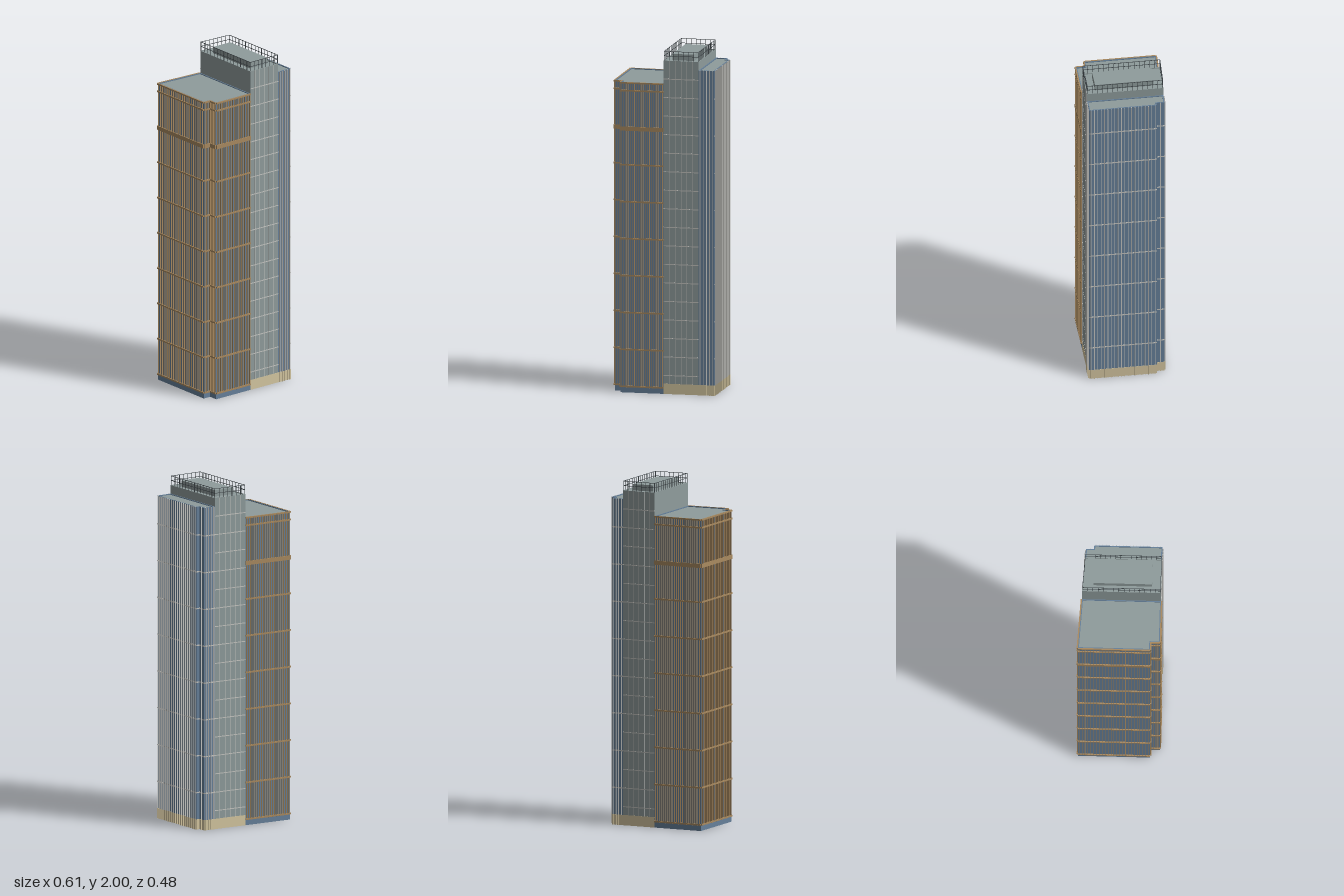
import * as THREE from 'three';
import { mergeGeometries } from 'three/addons/utils/BufferGeometryUtils.js';

const mat = (name, color) => Object.assign(new THREE.MeshStandardMaterial({ color }), { name });

// Footprints as [x, z], running along the front to the right, then round the back
const LEFT = [[-0.3, 0.18], [-0.253, 0.18], [-0.253, 0.235], [0, 0.235], [0, -0.22], [-0.3, -0.236]];
const CORE = [[0, 0.235], [0.207, 0.235], [0.207, -0.208], [0, -0.22]];
const RIGHT = [[0.207, 0.235], [0.3, 0.235], [0.3, -0.157], [0.278, -0.157], [0.278, -0.204], [0.207, -0.208]];

const edge = (poly, i) => [poly[i], poly[(i + 1) % poly.length]];

function normal([a, b]) {
  const dx = b[0] - a[0], dz = b[1] - a[1], l = Math.hypot(dx, dz);
  return [-dz / l, dx / l];
}

// Moves every side of a footprint inwards by t
function inset(poly, t) {
  return poly.map((p, i) => {
    const m = normal(edge(poly, (i + poly.length - 1) % poly.length));
    const n = normal(edge(poly, i));
    const k = t / (1 + m[0] * n[0] + m[1] * n[1]);
    return [p[0] - (m[0] + n[0]) * k, p[1] - (m[1] + n[1]) * k];
  });
}

// Upright prism over a footprint, optionally with a hole
function prism(poly, y0, y1, hole) {
  const pts = (q) => q.map(([x, z]) => new THREE.Vector2(x, -z));
  const shape = new THREE.Shape(pts(poly));
  if (hole) shape.holes.push(new THREE.Path(pts(hole)));
  const g = new THREE.ExtrudeGeometry(shape, { depth: y1 - y0, bevelEnabled: false });
  return g.rotateX(-Math.PI / 2).translate(0, y0, 0);
}

// Box standing off a wall from a to b: s = distance along it, w = width, d = depth
function onWall([a, b], s, w, y0, y1, d, sink = 0.001) {
  const dx = b[0] - a[0], dz = b[1] - a[1], l = Math.hypot(dx, dz);
  const n = normal([a, b]), off = (d - sink) / 2;
  return new THREE.BoxGeometry(w, y1 - y0, d + sink)
    .rotateY(Math.atan2(-dz, dx))
    .translate(a[0] + (dx * s) / l + n[0] * off, (y0 + y1) / 2, a[1] + (dz * s) / l + n[1] * off);
}

const len = ([a, b]) => Math.hypot(b[0] - a[0], b[1] - a[1]);

// Evenly spaced upright bars on a wall
function bars(wall, step, w, y0, y1, d) {
  const l = len(wall), n = Math.max(1, Math.round(l / step));
  return Array.from({ length: n }, (_, i) => onWall(wall, ((i + 0.5) * l) / n, w, y0, y1, d));
}

// Level band along a wall, run on past its ends by extra
const band = (wall, y, h, d, extra = 0) =>
  onWall(wall, len(wall) / 2, len(wall) + extra * 2, y - h / 2, y + h / 2, d);

export function createModel() {
  const glass = mat('blue glass', 0x66809a);
  const grey = mat('grey panel', 0x8f9c9c);
  const tan = mat('tan metal', 0xa98a60);
  const pale = mat('pale metal', 0xc6c6c2);
  const beige = mat('beige stone', 0xd4c6a0);
  const dark = mat('dark rail', 0x40474b);

  const model = new THREE.Group();
  model.name = 'tower';
  const add = (name, geos, material) => {
    const list = Array.isArray(geos) ? geos : [geos];
    const mesh = new THREE.Mesh(list.length > 1 ? mergeGeometries(list) : list[0], material);
    mesh.name = name;
    model.add(mesh);
  };

  // Glazed block with a parapet rim and a sunken roof
  const block = (name, poly, h) => {
    const inner = inset(poly, 0.006);
    add(name + 'Body', prism(poly, 0, h - 0.008), glass);
    add(name + 'Parapet', prism(poly, h - 0.008, h, inner), glass);
    add(name + 'Roof', prism(inner, h - 0.009, h - 0.005), grey);
  };

  // Left block: close tan fins and bands on its outer walls
  block('leftBlock', LEFT, 1.81);
  const leftFins = [], leftBands = [];
  for (const [i, step] of [[0, 0.0118], [1, 0.0118], [2, 0.0126], [4, 0.0126], [5, 0.0166]]) {
    const wall = edge(LEFT, i);
    leftFins.push(...bars(wall, step, 0.003, 0.03, 1.81, 0.006));
    for (let k = 0; k < 7; k++) leftBands.push(band(wall, 0.036 + k * 0.2155, 0.009, 0.007));
    leftBands.push(band(wall, 1.54, 0.024, 0.007));
    leftBands.push(band(wall, 1.762, 0.009, 0.007), band(wall, 1.807, 0.009, 0.007));
  }
  add('leftFins', leftFins, tan);
  add('leftBands', leftBands, tan);

  // Right block: pale fins, floor lines and a stone base
  block('rightBlock', RIGHT, 1.895);
  const fins = [], lines = [], base = [], baseFins = [];
  for (const i of [0, 1, 2, 3, 4]) {
    const wall = edge(RIGHT, i);
    base.push(band(wall, 0.03, 0.06, 0.001));
    if (i !== 2) {
      const step = i === 3 ? 0.047 : 0.0195;
      fins.push(...bars(wall, step, 0.0035, 0.06, 1.895, 0.006));
      baseFins.push(...bars(wall, step, 0.0035, 0, 0.06, 0.006));
    }
    if (i > 0) for (let k = 1; k <= 8; k++) lines.push(band(wall, k * 0.2162, 0.007, 0.001));
  }
  add('rightFins', fins, pale);
  add('rightFloorLines', lines, pale);
  add('rightBase', base, beige);
  add('rightBaseFins', baseFins, beige);

  // Core: panelled slab with a grid of joints front and back
  const coreInner = inset(CORE, 0.005);
  add('coreBody', prism(CORE, 0, 1.94), grey);
  add('coreParapet', prism(CORE, 1.94, 1.945, coreInner), grey);
  const joints = [], coreBase = [];
  for (const i of [0, 2]) {
    const wall = edge(CORE, i), l = len(wall);
    coreBase.push(band(wall, 0.03, 0.06, 0.001));
    for (let k = 1; k <= 17; k++) joints.push(band(wall, k * 0.1081, 0.005, 0.001));
    for (let k = 1; k < 6; k++) joints.push(onWall(wall, (l * k) / 6, 0.003, 0.06, 1.945, 0.001));
  }
  add('coreJoints', joints, pale);
  add('coreBase', coreBase, beige);

  // Rooftop plant room
  const plant = [[0.04, 0.183], [0.168, 0.183], [0.168, -0.155], [0.04, -0.155]];
  add('plantRoom', prism(plant, 1.94, 1.977), grey);

  // Railing round the core roof
  const railLine = inset(CORE, 0.003), rails = [];
  railLine.forEach((_, i) => {
    const wall = edge(railLine, i), l = len(wall), n = Math.round(l / 0.029);
    for (let k = 0; k < n; k++) rails.push(onWall(wall, (l * k) / n, 0.0025, 1.94, 2, 0.0015));
    for (const y of [1.972, 1.99875]) rails.push(band(wall, y, 0.0025, 0.0015));
  });
  add('roofRailing', rails, dark);

  return model;
}
